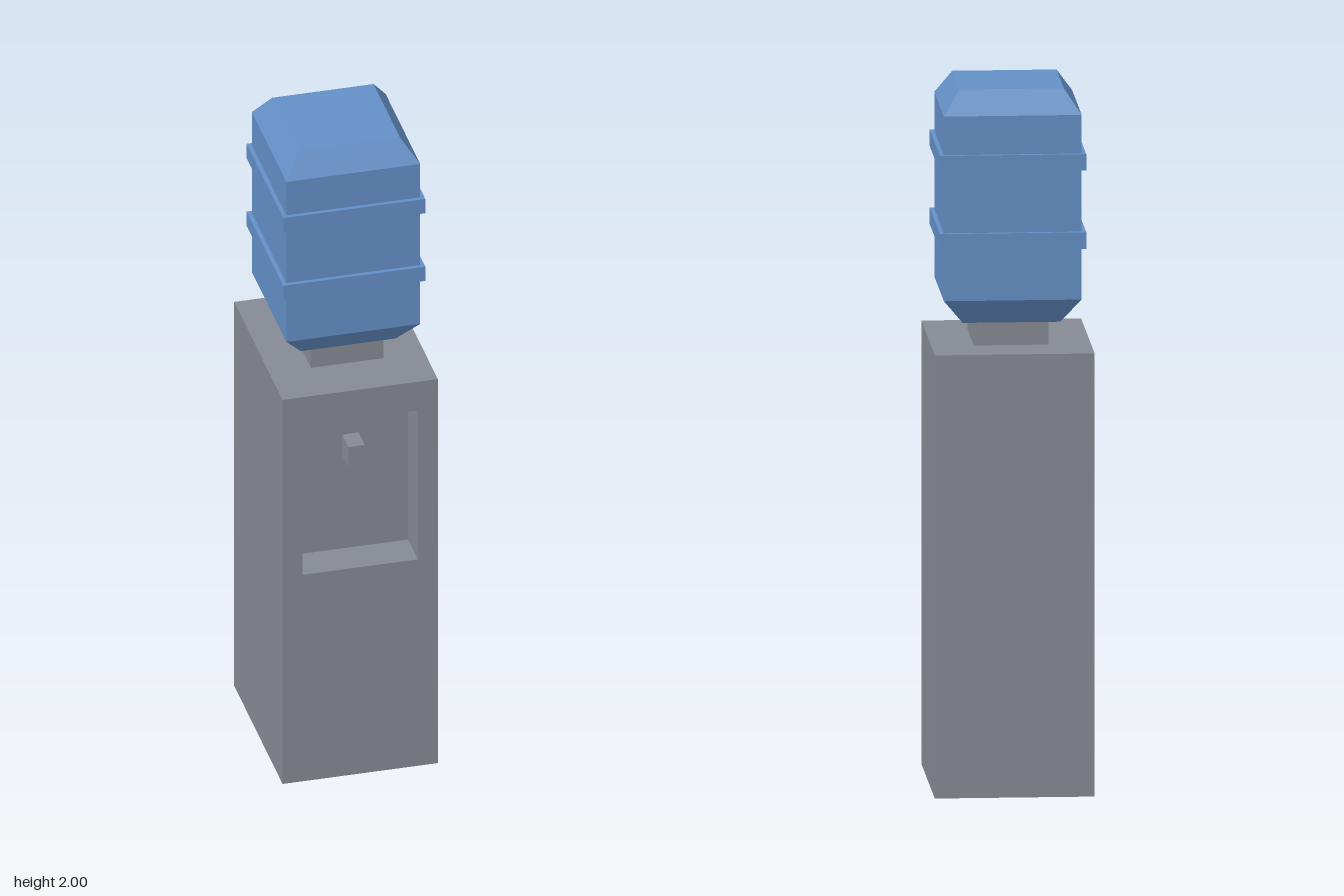
import * as THREE from 'three';

export function createModel() {
  const model = new THREE.Group();
  model.name = 'waterCooler';

  const grey = new THREE.MeshStandardMaterial({ color: 0x868a92 });
  grey.name = 'cabinetGrey';
  const blue = new THREE.MeshStandardMaterial({ color: 0x6490c6 });
  blue.name = 'bottleBlue';

  function add(name, geometry, material, parent = model) {
    const mesh = new THREE.Mesh(geometry, material);
    mesh.name = name;
    parent.add(mesh);
    return mesh;
  }

  // Box given by its extents on each axis
  function box(name, material, [x0, x1], [y0, y1], [z0, z1], parent) {
    const mesh = add(name, new THREE.BoxGeometry(x1 - x0, y1 - y0, z1 - z0), material, parent);
    mesh.position.set((x0 + x1) / 2, (y0 + y1) / 2, (z0 + z1) / 2);
    return mesh;
  }

  // Rectangle outline for shapes and holes
  function rect(x0, y0, x1, y1) {
    return [[x0, y0], [x1, y0], [x1, y1], [x0, y1]].map(([x, y]) => new THREE.Vector2(x, y));
  }

  // Cabinet: solid rear block plus a front frame that leaves the dispensing niche open
  const W = 0.225, D = 0.272, H = 1.265, niche = 0.11;
  const nicheBack = D - niche;
  const cabinet = new THREE.Group();
  cabinet.name = 'cabinet';
  model.add(cabinet);
  box('cabinetBody', grey, [-W, W], [0, H], [-D, nicheBack], cabinet);

  const frame = new THREE.Shape(rect(-W, 0, W, H));
  frame.holes.push(new THREE.Path(rect(-0.167, 0.68, 0.167, 1.17).reverse()));
  const front = new THREE.ExtrudeGeometry(frame, { depth: niche, bevelEnabled: false });
  add('cabinetFront', front, grey, cabinet).position.z = nicheBack;

  // Tap inside the niche
  box('tap', grey, [-0.024, 0.024], [0.985, 1.055], [nicheBack, 0.232]);

  // Collar that carries the bottle
  box('collar', grey, [-0.105, 0.105], [H, 1.332], [-0.125, 0.125]);

  // Square bottle: four-sided lathe with tapered shoulders, [half width, height]
  const profile = [[0, 1.332], [0.137, 1.332], [0.194, 1.405], [0.194, 1.932], [0.147, 2], [0, 2]]
    .map(([r, y]) => new THREE.Vector2(r * Math.SQRT2, y));
  const bottle = new THREE.LatheGeometry(profile, 4, Math.PI / 4).toNonIndexed();
  bottle.computeVertexNormals();
  add('bottle', bottle, blue);

  // Raised bands around the bottle
  const B = 0.206;
  for (const y of [1.552, 1.775]) {
    box('bottleBand', blue, [-B, B], [y, y + 0.047], [-B, B]);
  }

  return model;
}
